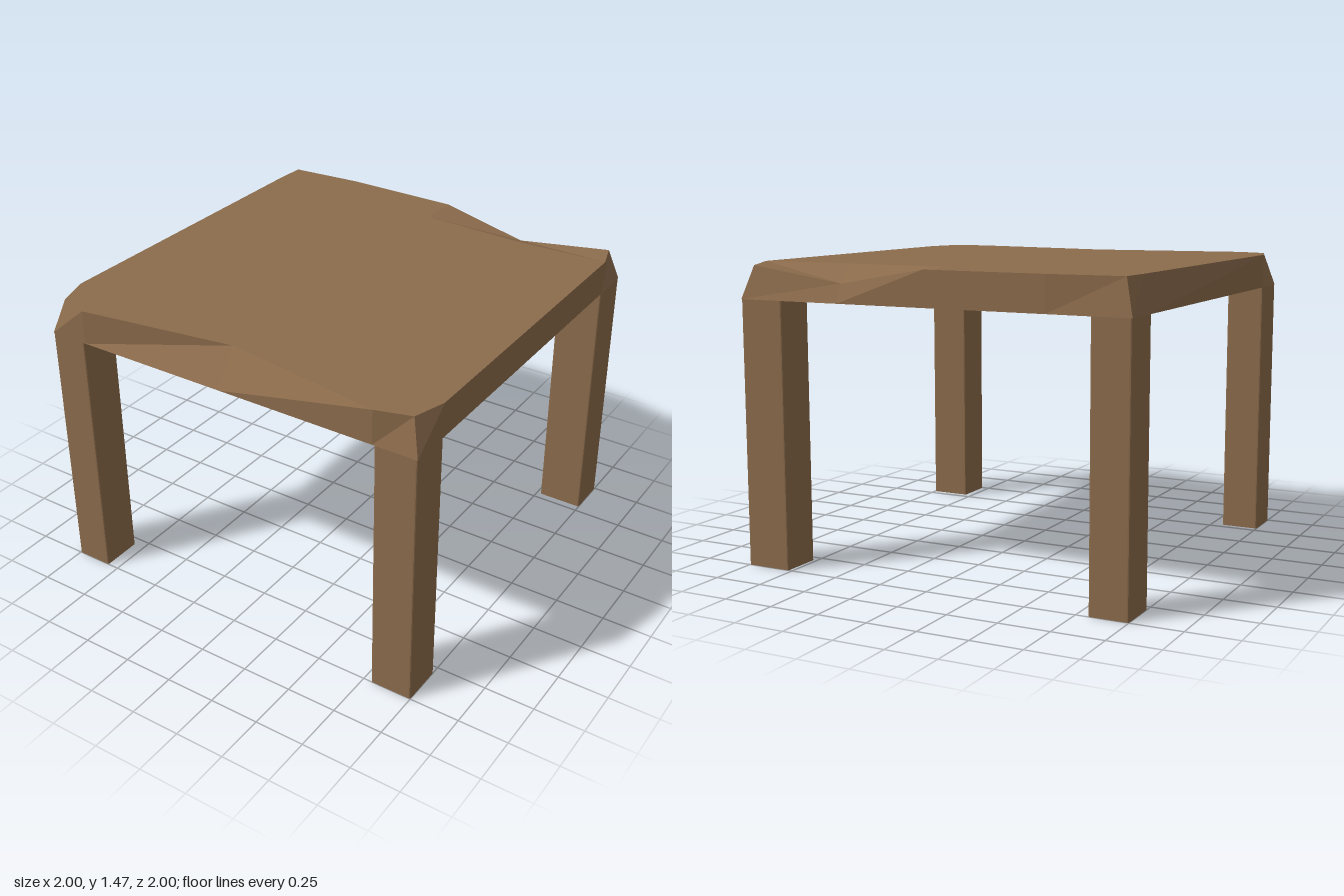
import * as THREE from 'three';

const SEAT_Y = 1.3;
const TOP_Y = 1.47;

// Worn slab: each rim point is [top x, top z, bottom x, bottom z, top y]
function seatGeometry() {
  const rim = [
    [-0.95, 0.95, -1, 1], [-0.8, 1, -0.8, 1], [-0.02, 0.88, -0.02, 1], [0.78, 1, 0.78, 1],
    [0.95, 0.95, 1, 1], [1, 0.79, 1, 0.79], [1, -0.8, 1, -0.8], [0.95, -0.96, 1, -1, 1.46],
    [0.46, -0.96, 0.46, -1, 1.39], [0, -1, 0, -1], [-0.6, -1, -0.6, -1], [-0.96, -0.97, -1, -1],
    [-0.97, -0.8, -1, -0.8], [-1, 0.79, -1, 0.79],
  ];
  const top = rim.map(([x, z, , , y = TOP_Y]) => [x, y, z]);
  const bottom = rim.map(([, , x, z]) => [x, SEAT_Y, z]);
  const pos = [];
  const tri = (a, b, c) => pos.push(...a, ...b, ...c);

  // sides
  rim.forEach((_, i) => {
    const j = (i + 1) % rim.length;
    tri(bottom[i], bottom[j], top[j]);
    tri(bottom[i], top[j], top[i]);
  });

  // flat part of the top, cut back where the rear edge is worn down
  const foldMid = [0.53, TOP_Y, -0.78];
  const foldEnd = [0, TOP_Y, -0.8];
  const cap = (ring, flip) => {
    const flat = ring.map(([x, , z]) => new THREE.Vector2(x, -z));
    for (const [a, b, c] of THREE.ShapeUtils.triangulateShape(flat, [])) {
      if (flip) tri(ring[c], ring[b], ring[a]);
      else tri(ring[a], ring[b], ring[c]);
    }
  };
  cap([...top.slice(0, 7), foldMid, foldEnd, ...top.slice(9)], false);
  cap(bottom, true);

  // worn dip at the rear
  const low = top[8];
  tri(low, top[9], foldEnd);
  tri(low, foldEnd, foldMid);
  tri(low, foldMid, top[6]);
  tri(low, top[6], top[7]);

  const geo = new THREE.BufferGeometry();
  geo.setAttribute('position', new THREE.Float32BufferAttribute(pos, 3));
  geo.computeVertexNormals();
  return geo;
}

// Square post with slightly eased vertical edges
function legGeometry(w, d) {
  const r = 0.01, x = w / 2, y = d / 2;
  const s = new THREE.Shape();
  s.moveTo(-x + r, -y);
  s.lineTo(x - r, -y);
  s.quadraticCurveTo(x, -y, x, -y + r);
  s.lineTo(x, y - r);
  s.quadraticCurveTo(x, y, x - r, y);
  s.lineTo(-x + r, y);
  s.quadraticCurveTo(-x, y, -x, y - r);
  s.lineTo(-x, -y + r);
  s.quadraticCurveTo(-x, -y, -x + r, -y);
  const geo = new THREE.ExtrudeGeometry(s, { depth: SEAT_Y, bevelEnabled: false, curveSegments: 3 });
  return geo.rotateX(-Math.PI / 2);
}

export function createModel() {
  const group = new THREE.Group();
  const wood = new THREE.MeshStandardMaterial({ color: 0x8c6c4c });
  wood.name = 'wood';

  const seat = new THREE.Mesh(seatGeometry(), wood);
  seat.name = 'seat';
  group.add(seat);

  // legs: name, side in x, side in z, width, depth
  const legs = [
    ['frontLeftLeg', 1, 1, 0.21, 0.21],
    ['frontRightLeg', -1, 1, 0.19, 0.21],
    ['backLeftLeg', 1, -1, 0.23, 0.21],
    ['backRightLeg', -1, -1, 0.19, 0.21],
  ];
  for (const [name, sx, sz, w, d] of legs) {
    const leg = new THREE.Mesh(legGeometry(w, d), wood);
    leg.name = name;
    leg.position.set(sx * (1 - w / 2), 0, sz * (1 - d / 2));
    group.add(leg);
  }
  return group;
}
